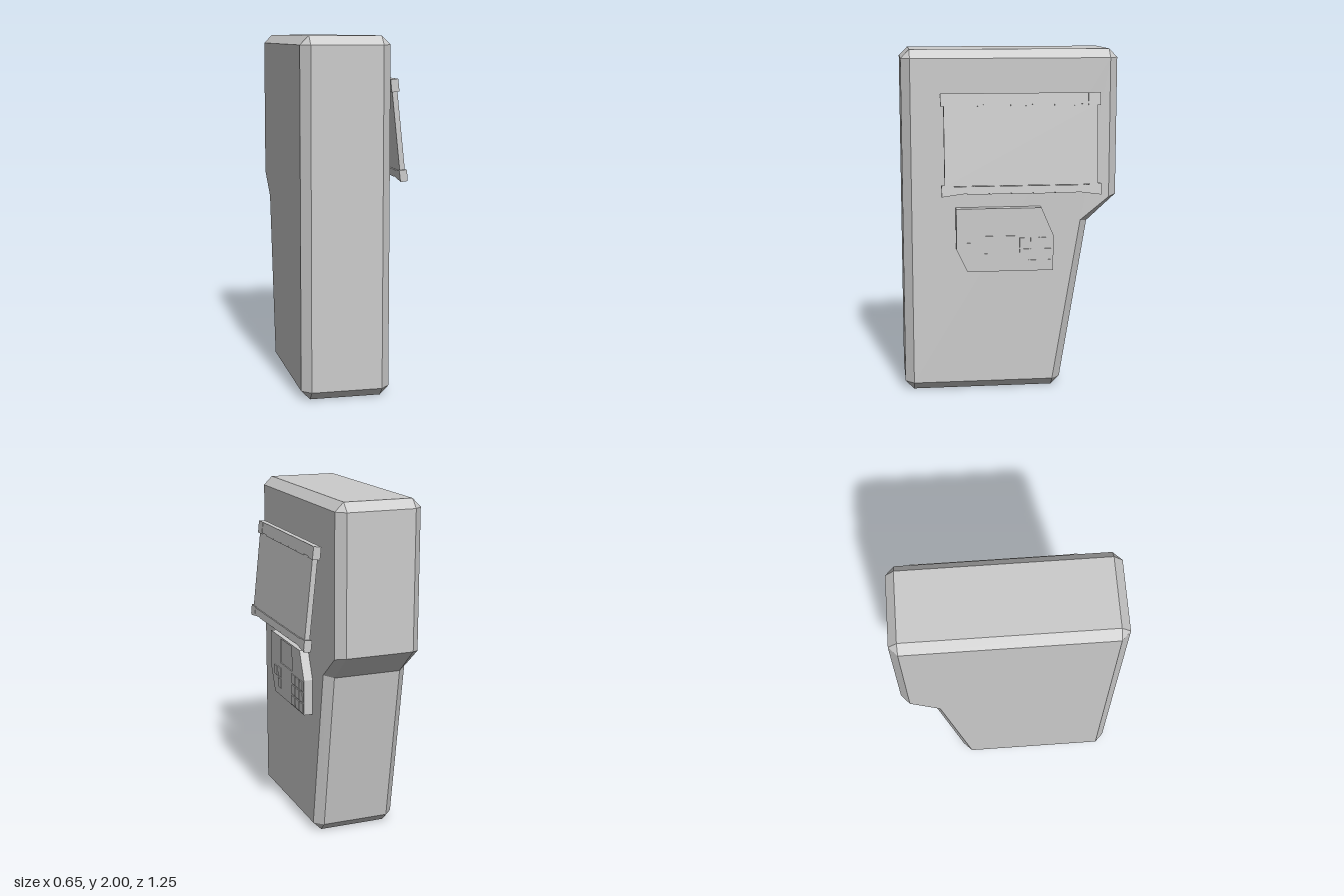
import * as THREE from 'three';

const material = new THREE.MeshStandardMaterial({ color: 0xcccccc, flatShading: true });

function add(parent, name, geometry) {
  const mesh = new THREE.Mesh(geometry, material);
  mesh.name = name;
  parent.add(mesh);
  return mesh;
}

function box(parent, name, size, position) {
  return add(parent, name, new THREE.BoxGeometry(...size)).position.set(...position);
}

// Extrude a [z, y] outline along +x, from x0 to x0 + depth
function plate(outline, x0, depth, hole) {
  const toPath = (pts) => pts.map(([z, y]) => new THREE.Vector2(-z, y));
  const shape = new THREE.Shape(toPath(outline));
  if (hole) shape.holes.push(new THREE.Path(toPath(hole)));
  return new THREE.ExtrudeGeometry(shape, { depth, bevelEnabled: false })
    .rotateY(Math.PI / 2).translate(x0, 0, 0);
}

// Cabinet with every edge chamfered: inset side face, full outline, full outline, inset side face
function cabinetGeometry() {
  const inner = [[0.575, 0.05], [-0.245, 0.05], [-0.405, 1.01], [-0.572, 1.145], [-0.572, 1.95], [0.575, 1.95]];
  const outer = [[0.625, 0.05], [0.575, 0], [-0.245, 0], [-0.295, 0.05], [-0.45, 1.0],
    [-0.62, 1.155], [-0.62, 1.95], [-0.572, 2], [0.575, 2], [0.625, 1.95]];
  // Each cut corner of the outline meets one corner of the inset face
  const insetLoop = [0, 0, 1, 1, 2, 3, 4, 4, 5, 5].map((i) => inner[i]);
  const sections = [[-0.33, insetLoop], [-0.28, outer], [0.12, outer], [0.17, insetLoop]];
  const position = [];
  const n = outer.length;
  const tri = (...pts) => {
    const [a, b, c] = pts.map((p) => new THREE.Vector3(...p));
    if (b.clone().sub(a).cross(c.clone().sub(a)).length() > 1e-7) pts.forEach((p) => position.push(...p));
  };
  for (let s = 0; s < 3; s++) {
    const [xa, la] = sections[s];
    const [xb, lb] = sections[s + 1];
    for (let i = 0; i < n; i++) {
      const j = (i + 1) % n;
      const a = [xa, la[i][1], la[i][0]], b = [xa, la[j][1], la[j][0]];
      const c = [xb, lb[j][1], lb[j][0]], d = [xb, lb[i][1], lb[i][0]];
      tri(a, b, c);
      tri(a, c, d);
    }
  }
  const geometry = new THREE.BufferGeometry();
  geometry.setAttribute('position', new THREE.Float32BufferAttribute(position, 3));
  geometry.computeVertexNormals();
  return { geometry, inner };
}

export function createModel() {
  const model = new THREE.Group();
  model.name = 'wallCabinet';

  // Cabinet shell and its two flat side faces
  const { geometry, inner } = cabinetGeometry();
  add(model, 'cabinetBody', geometry);
  const sideShape = new THREE.Shape(inner.map(([z, y]) => new THREE.Vector2(-z, y)));
  add(model, 'leftSideFace', new THREE.ShapeGeometry(sideShape).rotateY(Math.PI / 2).translate(0.17, 0, 0));
  const mirrored = new THREE.Shape(inner.map(([z, y]) => new THREE.Vector2(z, y)));
  add(model, 'rightSideFace', new THREE.ShapeGeometry(mirrored).rotateY(-Math.PI / 2).translate(-0.33, 0, 0));

  // Tilted screen held between two rails
  const screen = new THREE.Group();
  screen.name = 'screen';
  screen.position.set(0.27, 1.47, -0.045);
  screen.rotation.z = 0.106;
  model.add(screen);
  box(screen, 'screenPanel', [0.03, 0.46, 0.875], [0, 0, 0]);
  const topRail = [[0.455, 0.218], [0.455, 0.29], [-0.455, 0.29], [-0.455, 0.218],
    [-0.435, 0.218], [-0.425, 0.226], [0.425, 0.226], [0.435, 0.218]];
  const bottomRail = [[0.455, -0.29], [0.32, -0.272], [-0.32, -0.272], [-0.455, -0.29],
    [-0.455, -0.224], [-0.435, -0.224], [-0.425, -0.232], [0.425, -0.232], [0.435, -0.224], [0.455, -0.224]];
  add(screen, 'topRail', plate(topRail, -0.02, 0.04));
  add(screen, 'bottomRail', plate(bottomRail, -0.02, 0.04));
  for (const side of [-1, 1]) {
    box(screen, 'topRailEnd', [0.044, 0.07, 0.07], [0, 0.254, side * 0.42]);
    box(screen, 'bottomRailEnd', [0.044, 0.05, 0.07], [0, -0.251, side * 0.42]);
  }
  // Segmented lips along the rails
  for (let i = -2; i <= 2; i++) {
    box(screen, 'topRailLip', [0.036, 0.01, 0.118], [0, 0.223, i * 0.125]);
    box(screen, 'bottomRailLip', [0.036, 0.006, 0.118], [0, -0.274, i * 0.125]);
  }

  // Control panel with a recessed display
  const controls = new THREE.Group();
  controls.name = 'controlPanel';
  model.add(controls);
  const outline = [[0.323, 1.097], [0.323, 0.86], [0.26, 0.727], [-0.24, 0.727], [-0.24, 0.935], [-0.17, 1.097]];
  const recess = [[0.155, 1.085], [0.155, 0.935], [-0.04, 0.935], [-0.04, 1.085]];
  add(controls, 'panelBase', plate(outline, 0.165, 0.052));
  add(controls, 'panelFace', plate(outline, 0.217, 0.006, recess));

  // Number keys and a small cluster of three keys
  const keys = [[0.235, 0.87], [0.17, 0.875], [0.17, 0.805]];
  for (let row = 0; row < 3; row++) {
    for (let col = 0; col < 3; col++) keys.push([-0.07 - col * 0.064, 0.895 - row * 0.066]);
  }
  for (const [z, y] of keys) box(controls, 'key', [0.016, 0.056, 0.054], [0.22, y, z]);

  return model;
}
